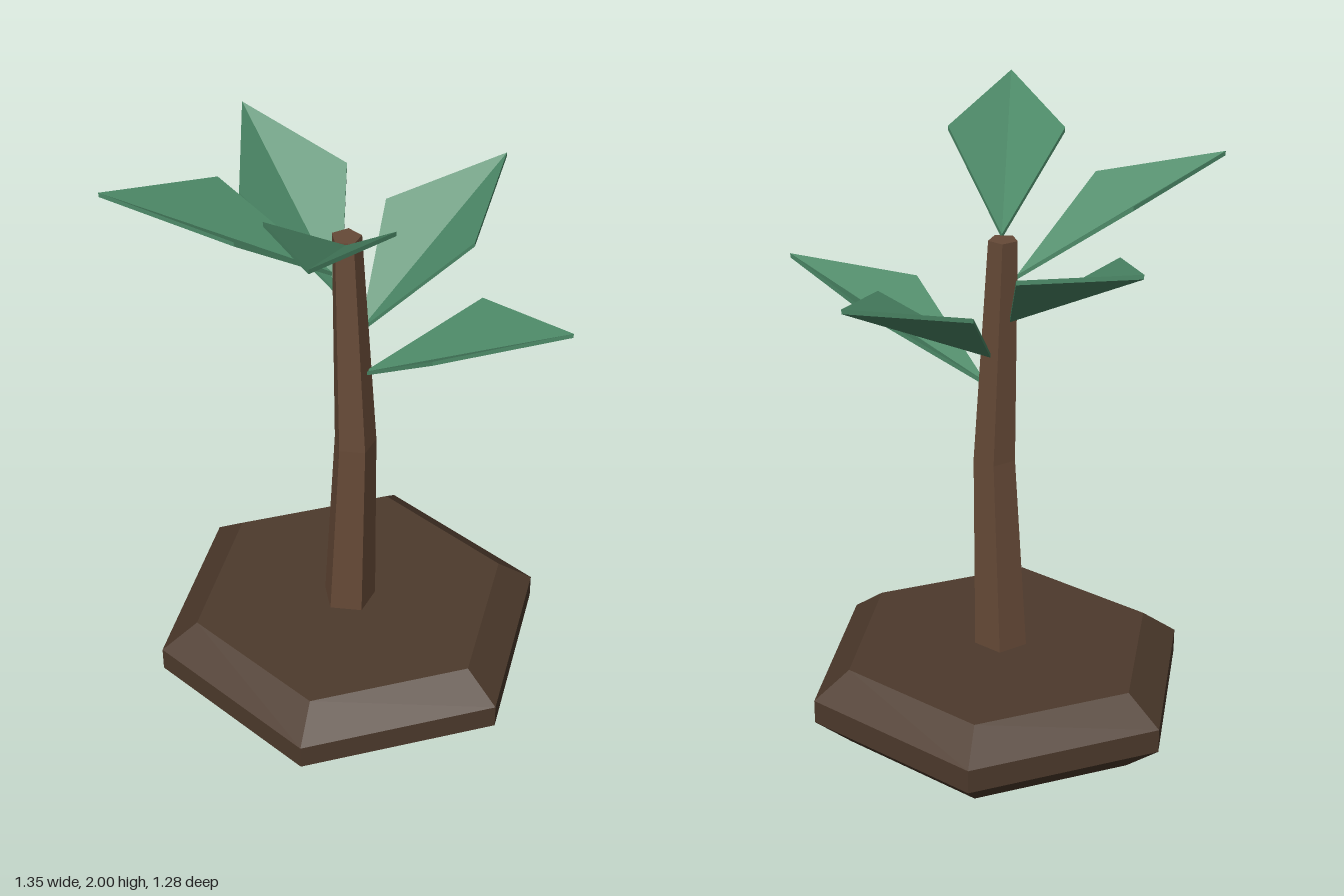
import * as THREE from 'three';

const CENTRE_Z = 0.06;

function material(color) {
  return new THREE.MeshStandardMaterial({ color, flatShading: true, side: THREE.DoubleSide });
}

// Folded kite leaf pointing along +x, its tip at height 0; thin and closed
function leafGeometry() {
  const outline = [
    [0.05, -0.34, 0],      // stem end
    [0.355, -0.09, 0.183], // side corner
    [0.71, 0, 0],          // tip
    [0.355, -0.09, -0.183] // other side corner
  ];
  const drop = 0.014;
  const positions = [...outline, ...outline.map(([x, y, z]) => [x, y - drop, z])].flat();
  // upper halves, lower halves, both folded along the stem-tip line
  const index = [0, 1, 2, 0, 2, 3, 4, 6, 5, 4, 7, 6];
  for (let i = 0; i < 4; i++) {
    const j = (i + 1) % 4;
    index.push(i, i + 4, j, j, i + 4, j + 4);
  }
  const geometry = new THREE.BufferGeometry();
  geometry.setAttribute('position', new THREE.Float32BufferAttribute(positions, 3));
  geometry.setIndex(index);
  const flat = geometry.toNonIndexed();
  flat.computeVertexNormals();
  return flat;
}

// Five-sided trunk with a gentle bend in the middle
function trunkGeometry() {
  const bottom = 0.19, top = 1.66;
  const rings = [
    { x: 0, z: 0.07, r: 0.09 },
    { x: 0.03, z: 0.068, r: 0.069 },
    { x: -0.003, z: 0.066, r: 0.047 }
  ];
  const height = top - bottom;
  const geometry = new THREE.CylinderGeometry(1, 1, height, 5, 2);
  geometry.translate(0, bottom + height / 2, 0);
  const p = geometry.attributes.position;
  for (let i = 0; i < p.count; i++) {
    const ring = rings[Math.round(2 * (p.getY(i) - bottom) / height)];
    p.setX(i, ring.x + p.getX(i) * ring.r);
    p.setZ(i, ring.z + p.getZ(i) * ring.r);
  }
  geometry.computeVertexNormals();
  return geometry;
}

export function createModel() {
  const group = new THREE.Group();

  // Six-sided bevelled base, open underneath
  const profile = [[0.52, 0], [0.64, 0.1], [0.64, 0.18], [0.52, 0.27], [0, 0.27]]
    .map(([r, y]) => new THREE.Vector2(r, y));
  const base = new THREE.Mesh(
    new THREE.LatheGeometry(profile, 6, Math.PI / 2), material(0x4d3a2c));
  base.name = 'base';
  base.position.z = CENTRE_Z;
  group.add(base);

  const trunk = new THREE.Mesh(trunkGeometry(), material(0x664a37));
  trunk.name = 'trunk';
  group.add(trunk);

  // Leaves climb the trunk in a spiral
  const leafShape = leafGeometry();
  const leafMaterial = material(0x4d8a68);
  for (let i = 0; i < 5; i++) {
    const leaf = new THREE.Mesh(leafShape, leafMaterial);
    leaf.name = `leaf${i + 1}`;
    leaf.rotation.y = THREE.MathUtils.degToRad(18 + 72 * i);
    leaf.position.set(0, 1.528 + 0.118 * i, CENTRE_Z);
    group.add(leaf);
  }
  return group;
}
